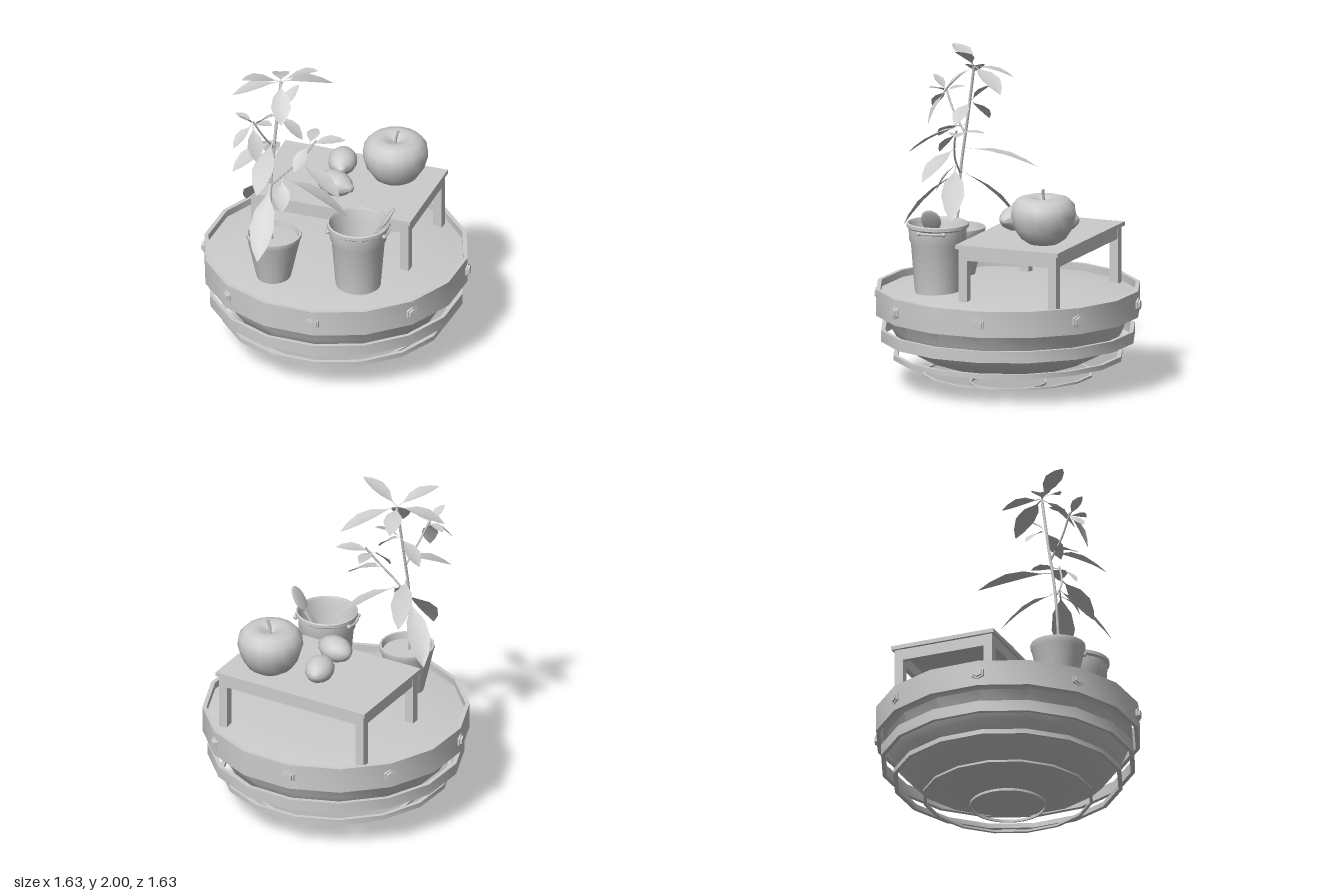
import * as THREE from 'three';
import { toCreasedNormals } from 'three/addons/utils/BufferGeometryUtils.js';

const mat = new THREE.MeshStandardMaterial({ color: 0xcccccc });
const thin = new THREE.MeshStandardMaterial({ color: 0xcccccc, side: THREE.DoubleSide });
const V = (a) => new THREE.Vector3(...a);

function add(parent, name, geo, pos = [0, 0, 0], material = mat) {
  const mesh = new THREE.Mesh(geo, material);
  mesh.name = name;
  mesh.position.set(...pos);
  parent.add(mesh);
  return mesh;
}

function group(parent, name, pos = [0, 0, 0]) {
  const g = new THREE.Group();
  g.name = name;
  g.position.set(...pos);
  parent.add(g);
  return g;
}

// Profile points run upward on the outside of the shape
function lathe(profile, sides, crease = 0.6) {
  const geo = new THREE.LatheGeometry(profile.map(([r, y]) => new THREE.Vector2(r, y)), sides);
  return toCreasedNormals(geo, crease);
}

const hoop = (r, wall, y0, y1, sides = 16) =>
  lathe([[r - wall, y0], [r, y0], [r, y1], [r - wall, y1], [r - wall, y0]], sides);

const tube = (points, r, n = 12) =>
  new THREE.TubeGeometry(new THREE.CatmullRomCurve3(points.map(V)), n, r, 6);

// Folded leaf with a narrow stalk, from base to tip
function leaf(base, tip, width) {
  const a = V(base), dir = V(tip).sub(a), len = dir.length();
  const side = dir.clone().cross(new THREE.Vector3(0, 1, 0)).normalize();
  const up = side.clone().cross(dir).normalize();
  const rows = [[0, 0.04], [0.16, 0.08], [0.38, 0.8], [0.62, 1], [0.85, 0.6], [1, 0.04]];
  const pos = [], idx = [];
  rows.forEach(([t, w], i) => {
    const mid = a.clone().addScaledVector(dir, t).addScaledVector(up, Math.sin(t * Math.PI) * len * 0.05);
    for (const s of [-1, 0, 1]) {
      const p = mid.clone().addScaledVector(side, s * w * width / 2)
        .addScaledVector(up, Math.abs(s) * w * width * 0.1);
      pos.push(p.x, p.y, p.z);
    }
    if (i) for (const k of [0, 1]) {
      const q = (i - 1) * 3 + k;
      idx.push(q, q + 1, q + 3, q + 1, q + 4, q + 3);
    }
  });
  const geo = new THREE.BufferGeometry();
  geo.setAttribute('position', new THREE.Float32BufferAttribute(pos, 3));
  geo.setIndex(idx);
  geo.computeVertexNormals();
  return geo;
}

function buildBase(root) {
  const base = group(root, 'base');
  add(base, 'bowl', lathe([[0, 0.085], [0.17, 0.09], [0.32, 0.105], [0.5, 0.165], [0.59, 0.21],
    [0.66, 0.28], [0.7, 0.35], [0.735, 0.44], [0.76, 0.46]], 16));
  add(base, 'rimBand', hoop(0.8, 0.025, 0.44, 0.6));
  add(base, 'deck', lathe([[0.785, 0.555], [0.65, 0.578], [0.45, 0.592], [0.22, 0.598], [0, 0.6]], 16));
  // Hoops floating around and below the bowl
  add(base, 'upperHoop', hoop(0.77, 0.025, 0.28, 0.35));
  add(base, 'middleHoop', hoop(0.695, 0.025, 0.165, 0.195));
  add(base, 'lowerHoop', hoop(0.515, 0.018, 0.06, 0.073));
  add(base, 'bottomHoop', hoop(0.23, 0.01, 0, 0.015, 32));
  // Hexagonal bolts around the band
  for (let i = 0; i < 8; i++) {
    const bolt = group(base, 'bolt');
    bolt.rotation.y = i * Math.PI / 4;
    for (const [r, d, z] of [[0.047, 0.03, 0.79], [0.032, 0.02, 0.806]]) {
      const geo = new THREE.CylinderGeometry(r * 0.88, r, d, 6).toNonIndexed();
      geo.computeVertexNormals();
      geo.rotateX(Math.PI / 2);
      add(bolt, 'boltHead', geo, [0, 0.52, z]);
    }
  }
}

function buildTable(root) {
  const table = group(root, 'table', [0.035, 0, -0.205]);
  table.rotation.y = -0.17;
  const W = 1.035, D = 0.665, L = 0.055;
  add(table, 'tableTop', new THREE.BoxGeometry(W, 0.025, D), [0, 0.922, 0]);
  const x = W / 2 - 0.015 - L / 2, z = D / 2 - 0.015 - L / 2;
  for (const s of [-1, 1]) {
    for (const t of [-1, 1]) add(table, 'leg', new THREE.BoxGeometry(L, 0.35, L), [s * x, 0.735, t * z]);
    add(table, 'longApron', new THREE.BoxGeometry(2 * x, 0.07, 0.03), [0, 0.875, s * (z + 0.01)]);
    add(table, 'shortApron', new THREE.BoxGeometry(0.03, 0.07, 2 * z), [s * (x + 0.01), 0.875, 0]);
  }
}

function buildFruit(root) {
  const apple = group(root, 'apple', [0.31, 0.935, -0.29]);
  add(apple, 'appleBody', lathe([[0, 0.025], [0.04, 0.005], [0.09, 0], [0.135, 0.03], [0.175, 0.09], [0.198, 0.17],
    [0.19, 0.23], [0.155, 0.27], [0.105, 0.285], [0.055, 0.275], [0.02, 0.25], [0, 0.235]], 16, 1.5));
  add(apple, 'appleStem', tube([[0, 0.235, 0], [0.003, 0.285, 0], [0.018, 0.335, 0]], 0.009, 5));

  // Lemons lie on their sides with a nub at each end
  const profile = [[0, -0.125], [0.025, -0.117], [0.058, -0.09], [0.082, -0.045], [0.088, 0],
    [0.08, 0.045], [0.058, 0.085], [0.032, 0.108], [0.022, 0.125], [0, 0.133]];
  for (const [x, z, turn] of [[-0.015, -0.31, 0.08], [-0.012, -0.045, 1.1]]) {
    const lemon = add(root, 'lemon', lathe(profile, 14, 1.5).rotateX(Math.PI / 2).scale(1, 0.87, 1), [x, 1.011, z]);
    lemon.rotation.y = turn;
  }
}

function buildBucket(root) {
  const bucket = group(root, 'bucket', [0.205, 0, 0.385]);
  add(bucket, 'bucketBody', lathe([[0, 0.575], [0.135, 0.575], [0.16, 0.88], [0.171, 0.905], [0.174, 0.975],
    [0.187, 0.985], [0.187, 1.005], [0.178, 1.01], [0.168, 0.99], [0.163, 0.92], [0.15, 0.88], [0.127, 0.6], [0, 0.6]], 24));
  // Side handles
  for (const s of [0, Math.PI]) {
    const handle = group(bucket, 'handle');
    handle.rotation.y = s;
    const arc = [-0.42, -0.2, 0, 0.2, 0.42].map((a) => [0.188 * Math.cos(a), 0.968, 0.188 * Math.sin(a)]);
    add(handle, 'handleBar', tube(arc, 0.007));
    for (const p of [arc[0], arc[4]]) add(handle, 'handleKnob', new THREE.SphereGeometry(0.014, 8, 6), p);
  }
  // Scoop leaning on the rim
  const scoop = group(bucket, 'scoop', [-0.09, 0.63, 0]);
  scoop.rotation.z = -0.56;
  add(scoop, 'scoopHandle', new THREE.BoxGeometry(0.014, 0.47, 0.045), [0, 0.235, 0]);
  const blade = new THREE.SphereGeometry(1, 14, 10).scale(0.012, 0.085, 0.062);
  add(scoop, 'scoopBlade', blade, [0, 0.5, 0]);
}

function buildPlant(root) {
  const plant = group(root, 'pottedPlant');
  add(plant, 'pot', lathe([[0, 0.575], [0.1, 0.575], [0.158, 0.84], [0.167, 0.865], [0.166, 0.88], [0.154, 0.88],
    [0.146, 0.84], [0, 0.845]], 20), [-0.31, 0, 0.38]);
  add(plant, 'stem', tube([[-0.32, 0.83, 0.39], [-0.33, 1.2, 0.37], [-0.31, 1.55, 0.32], [-0.285, 1.87, 0.275]], 0.009, 20));
  add(plant, 'branch', tube([[-0.33, 1.2, 0.37], [-0.24, 1.3, 0.38], [-0.13, 1.42, 0.36], [-0.06, 1.52, 0.33]], 0.006));
  add(plant, 'branch', tube([[-0.32, 1.45, 0.34], [-0.37, 1.57, 0.42], [-0.42, 1.7, 0.48]], 0.006));

  // Leaf clusters: shared base, then tip and width of each leaf
  const clusters = [
    [[-0.285, 1.87, 0.275], [[-0.05, 2, 0.33, 0.11], [-0.49, 1.96, 0.45, 0.11], [-0.57, 1.78, 0.33, 0.12],
      [-0.01, 1.76, 0.05, 0.12], [-0.33, 1.8, 0.04, 0.11], [-0.25, 1.68, 0.47, 0.12]]],
    [[-0.42, 1.68, 0.48], [[-0.54, 1.69, 0.38, 0.06], [-0.48, 1.77, 0.57, 0.07], [-0.52, 1.56, 0.58, 0.08],
      [-0.38, 1.48, 0.58, 0.1], [-0.29, 1.72, 0.55, 0.08]]],
    [[-0.3, 1.65, 0.3], [[-0.14, 1.53, 0.36, 0.1], [-0.45, 1.52, 0.22, 0.1], [-0.2, 1.78, 0.14, 0.08]]],
    [[-0.32, 1.5, 0.34], [[-0.53, 1.38, 0.55, 0.12], [-0.36, 1.31, 0.69, 0.13]]],
    [[-0.1, 1.49, 0.34], [[0.11, 1.51, 0.29, 0.1], [-0.17, 1.36, 0.46, 0.09], [-0.09, 1.5, 0.16, 0.08]]],
    [[-0.17, 1.39, 0.36], [[0.11, 1.23, 0.5, 0.12]]],
    [[-0.32, 1.36, 0.35], [[-0.43, 1.24, -0.08, 0.13]]],
    [[-0.26, 1.27, 0.38], [[0.13, 1, 0.32, 0.14], [-0.24, 1.1, 0.5, 0.1]]],
    [[-0.33, 1.22, 0.37], [[-0.53, 0.92, 0.08, 0.14], [-0.35, 0.87, 0.72, 0.15]]],
  ];
  for (const [base, tips] of clusters)
    for (const [x, y, z, w] of tips) add(plant, 'leaf', leaf(base, [x, y, z], w), [0, 0, 0], thin);
}

export function createModel() {
  const root = new THREE.Group();
  root.name = 'fruitTableDisplay';
  [buildBase, buildTable, buildFruit, buildBucket, buildPlant].forEach((build) => build(root));
  return root;
}
